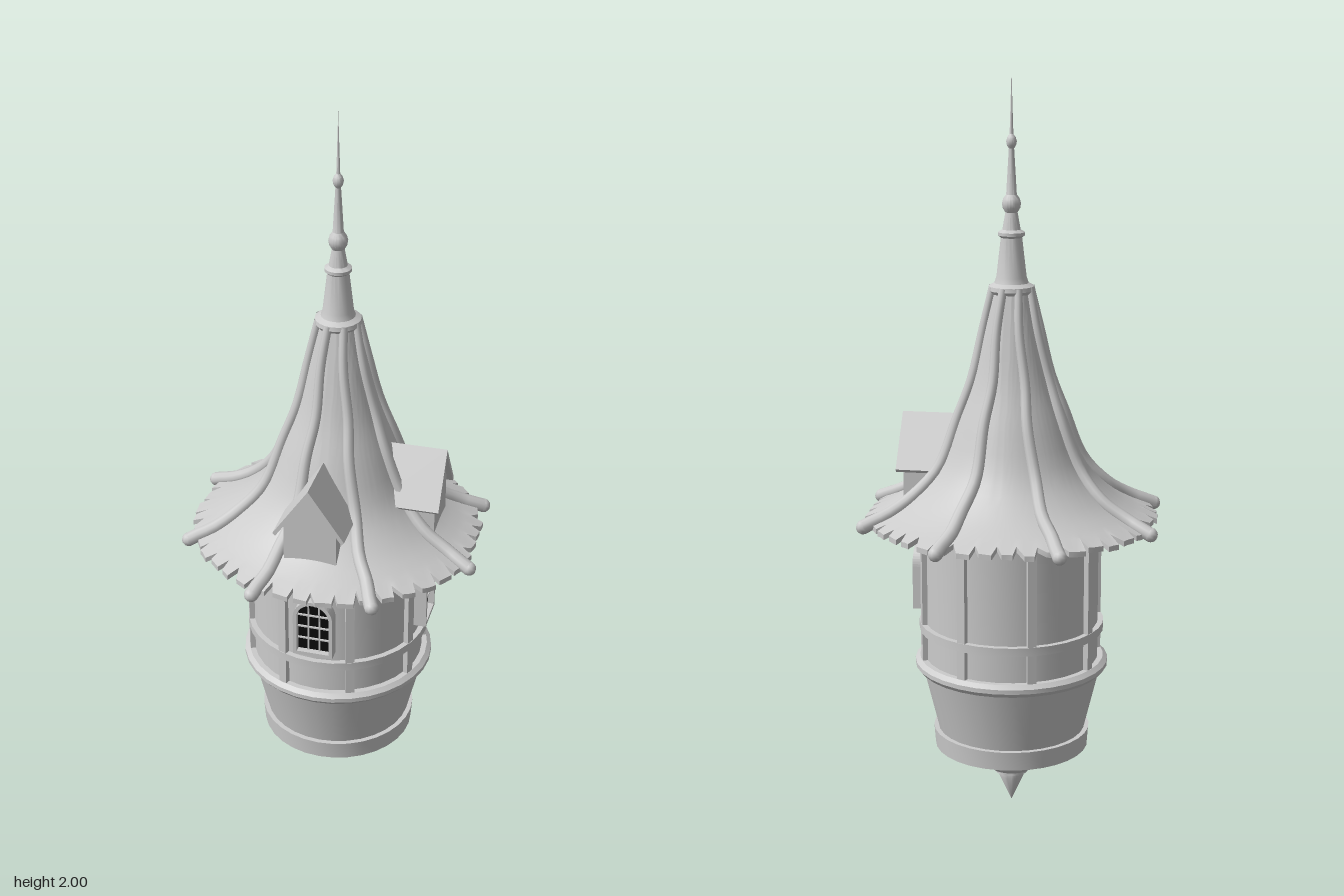
import * as THREE from 'three';
import { toCreasedNormals } from 'three/addons/utils/BufferGeometryUtils.js';

const grey = new THREE.MeshStandardMaterial({ color: 0xcccccc, side: THREE.DoubleSide });
const dark = new THREE.MeshStandardMaterial({ color: 0x0c0c0c });

function add(parent, name, geometry, material = grey) {
  const mesh = new THREE.Mesh(geometry, material);
  mesh.name = name;
  parent.add(mesh);
  return mesh;
}

const lathe = (points, sides = 32) =>
  toCreasedNormals(new THREE.LatheGeometry(points.map(([r, y]) => new THREE.Vector2(r, y)), sides), 0.6);

// Solid ring band with a square section
const band = (inner, outer, y0, y1) => lathe([[inner, y0], [outer, y0], [outer, y1], [inner, y1], [inner, y0]]);

// Seeded random numbers
let seed = 7;
const rand = () => (seed = (seed * 16807) % 2147483647) / 2147483647;

// Concave roof curve: x is the radius, y the height
const roofCurve = new THREE.CatmullRomCurve3(
  [[0.05, 1.44], [0.075, 1.33], [0.108, 1.2], [0.145, 1.1], [0.2, 0.968], [0.27, 0.893], [0.335, 0.853], [0.385, 0.832]]
    .map(([r, y]) => new THREE.Vector3(r, y, 0)));

// Thin bell-shaped roof shell whose eave is cut by irregular notches
function roofGeometry() {
  const columns = [], shingles = 42, step = Math.PI * 2 / shingles;
  for (let i = 0; i < shingles; i++) {
    const a = i * step, r = 0.383 + rand() * 0.011, gap = step * (0.06 + rand() * 0.16);
    const shift = step * (rand() - 0.5) * 0.3;
    columns.push([a + shift, 0.352 + rand() * 0.012], [a + shift + gap, r],
      [a + step * 0.5, r - 0.002], [a + step * 0.78, r - rand() * 0.006]);
  }
  const rows = roofCurve.getPoints(24).filter(p => p.x < 0.347);
  const n = rows.length + 1, pos = [], index = [];
  for (const [a, edge] of columns) {
    const ring = [...rows.map(p => [p.x, p.y]), [edge, 0.85 - (edge - 0.345) * 0.45]];
    for (const [r, y] of ring) pos.push(r * Math.cos(a), y, r * Math.sin(a));
    for (const [r, y] of ring) pos.push(r * Math.cos(a), y - 0.014, r * Math.sin(a));
  }
  const quad = (a, b, c, d) => index.push(a, b, c, a, c, d);
  for (let i = 0; i < columns.length; i++) {
    const p = i * 2 * n, q = ((i + 1) % columns.length) * 2 * n;
    for (let j = 0; j < n - 1; j++) {
      quad(p + j, q + j, q + j + 1, p + j + 1);
      quad(p + n + j, p + n + j + 1, q + n + j + 1, q + n + j);
    }
    quad(p + n - 1, q + n - 1, q + 2 * n - 1, p + 2 * n - 1);
  }
  const g = new THREE.BufferGeometry();
  g.setAttribute('position', new THREE.Float32BufferAttribute(pos, 3));
  g.setIndex(index);
  return toCreasedNormals(g, 0.6);
}

// Tapered pole lying on the roof, thicker at the eave
function rib(parent, angle) {
  const group = new THREE.Group();
  group.name = 'roofRib';
  const path = new THREE.CatmullRomCurve3([...roofCurve.points.slice(0, -1).map((p, i) =>
    new THREE.Vector3(p.x + 0.002, p.y + 0.004, i % 2 ? 0.003 : -0.003)),
    new THREE.Vector3(0.385, 0.836, 0), new THREE.Vector3(0.408, 0.826, 0)]);
  const steps = 28, sides = 10, g = new THREE.TubeGeometry(path, steps, 1, sides);
  const radius = t => 0.011 + 0.008 * t;
  const p = g.attributes.position, nrm = g.attributes.normal;
  for (let i = 0; i < p.count; i++) {
    const t = Math.floor(i / (sides + 1)) / steps, c = path.getPointAt(t), r = radius(t);
    p.setXYZ(i, c.x + nrm.getX(i) * r, c.y + nrm.getY(i) * r, c.z + nrm.getZ(i) * r);
  }
  add(group, 'ribPole', g);
  add(group, 'ribEnd', new THREE.SphereGeometry(radius(1), 10, 8)).position.copy(path.getPointAt(1));
  group.rotation.y = angle;
  parent.add(group);
}

// Arched outline with its base at y0 and the spring line at y1
function arch(shape, half, y0, y1) {
  shape.moveTo(-half, y0);
  shape.lineTo(half, y0);
  shape.lineTo(half, y1);
  shape.absarc(0, y1, half, 0, Math.PI, false);
  shape.lineTo(-half, y0);
  return shape;
}

function windowGroup() {
  const group = new THREE.Group();
  group.name = 'window';
  const frame = arch(new THREE.Shape(), 0.054, 0.563, 0.682);
  frame.holes.push(arch(new THREE.Path(), 0.044, 0.573, 0.682));
  add(group, 'windowFrame', new THREE.ExtrudeGeometry(frame, { depth: 0.045, bevelEnabled: false, curveSegments: 12 }))
    .position.z = 0.217;
  add(group, 'windowPane', new THREE.ShapeGeometry(arch(new THREE.Shape(), 0.045, 0.572, 0.682)), dark).position.z = 0.245;
  for (const x of [-0.015, 0.015])
    add(group, 'windowBar', new THREE.BoxGeometry(0.004, 0.148, 0.006)).position.set(x, 0.647, 0.247);
  for (const y of [0.61, 0.647, 0.684])
    add(group, 'windowBar', new THREE.BoxGeometry(0.088, 0.004, 0.006)).position.set(0, y, 0.247);
  return group;
}

function dormer() {
  const group = new THREE.Group();
  group.name = 'dormer';
  const outline = points => new THREE.Shape(points.map(([x, y]) => new THREE.Vector2(x, y)));
  const wall = outline([[-0.07, 0.87], [0.07, 0.87], [0.07, 0.985], [0, 1.085], [-0.07, 0.985]]);
  add(group, 'dormerWall', new THREE.ExtrudeGeometry(wall, { depth: 0.16, bevelEnabled: false })).position.z = 0.12;
  const roof = outline([[0, 1.1], [-0.095, 0.962], [-0.088, 0.954], [0, 1.08], [0.088, 0.954], [0.095, 0.962]]);
  add(group, 'dormerRoof', new THREE.ExtrudeGeometry(roof, { depth: 0.175, bevelEnabled: false })).position.z = 0.12;
  return group;
}

export function createModel() {
  const model = new THREE.Group();
  model.name = 'turret';

  // Pointed pendant below the floor
  add(model, 'pendant', lathe([[0, 0], [0.034, 0.075], [0.034, 0.085], [0.045, 0.088], [0.045, 0.096], [0.06, 0.102],
    [0.076, 0.116], [0.082, 0.132], [0.102, 0.14], [0.103, 0.155], [0.085, 0.165], [0.085, 0.19]]));

  // Flared base with a recessed underside
  add(model, 'base', lathe([[0, 0.185], [0.165, 0.185], [0.165, 0.176], [0.209, 0.176], [0.213, 0.228], [0.2, 0.228],
    [0.243, 0.405], [0, 0.405]]));

  // Tower wall, bands and timber posts
  add(model, 'wall', lathe([[0.235, 0.4], [0.235, 0.83], [0, 0.83]]));
  add(model, 'lowerBand', lathe([[0.23, 0.4], [0.252, 0.4], [0.262, 0.412], [0.262, 0.424], [0.25, 0.434], [0.23, 0.434]]));
  add(model, 'middleBand', band(0.23, 0.25, 0.512, 0.535));
  add(model, 'eaveBand', band(0.23, 0.266, 0.806, 0.835));
  for (let i = 0; i < 8; i++) {
    const a = (i + 0.5) * Math.PI / 4;
    const post = add(model, 'post', new THREE.BoxGeometry(0.024, 0.39, 0.03));
    post.position.set(Math.sin(a) * 0.233, 0.615, Math.cos(a) * 0.233);
    post.rotation.y = a;
  }

  // Roof with eight poles
  add(model, 'roof', roofGeometry());
  for (let i = 0; i < 8; i++) rib(model, -THREE.MathUtils.degToRad(18 + 45 * i));

  // A window and a dormer on the front and on the left side
  for (const turn of [0, Math.PI / 2])
    for (const part of [windowGroup(), dormer()]) {
      part.rotation.y = turn;
      model.add(part);
    }

  // Turned spire
  add(model, 'spire', lathe([[0, 1.42], [0.056, 1.428], [0.062, 1.436], [0.06, 1.447], [0.045, 1.455], [0.04, 1.47],
    [0.028, 1.573], [0.035, 1.579], [0.035, 1.587], [0.024, 1.594], [0.016, 1.638], [0.023, 1.65], [0.025, 1.661],
    [0.022, 1.673], [0.014, 1.684], [0.007, 1.802], [0.012, 1.81], [0.014, 1.82], [0.011, 1.83], [0.005, 1.838],
    [0.003, 1.9], [0, 2]], 20));

  return model;
}
